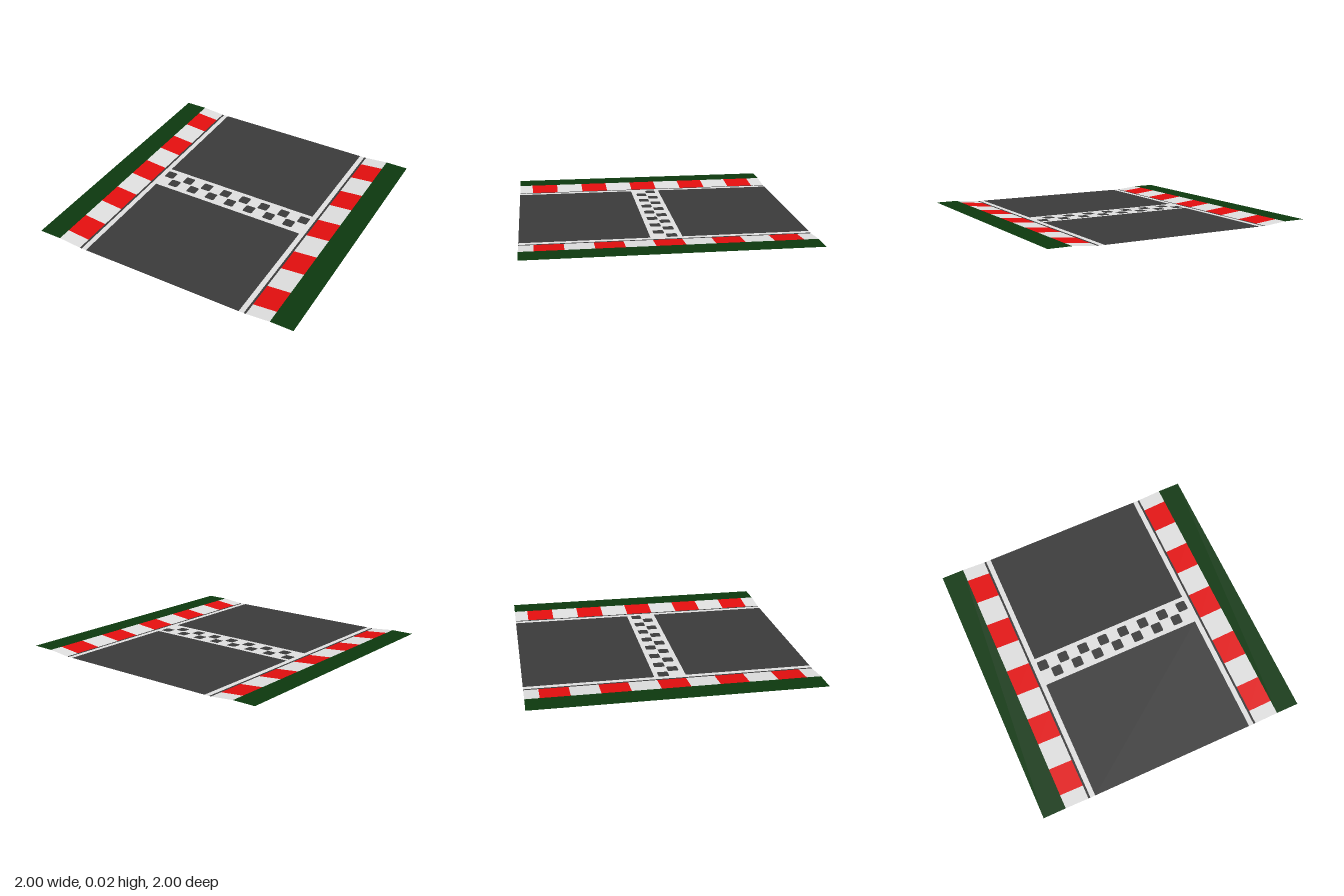
import * as THREE from 'three';

const flat = (name, color) => {
  const m = new THREE.MeshStandardMaterial({ color, side: THREE.DoubleSide });
  m.name = name;
  return m;
};

export function createModel() {
  const group = new THREE.Group();
  const asphalt = flat('asphalt', 0x3a3a3a);
  const white = flat('white paint', 0xdedede);
  const red = flat('red paint', 0xe20e0e);
  const green = flat('grass green', 0x0c380e);

  const rise = 0.016; // the verge sits slightly above the road
  const roadX = 0.608, lineX = 0.645, kerbIn = 0.66, kerbOut = 0.833;
  const finish = 0.11; // half depth of the finish band

  const add = (name, geometry, material) => {
    const mesh = new THREE.Mesh(geometry, material);
    mesh.name = name;
    group.add(mesh);
  };

  // Strip from x0 to x1 whose height runs from y0 to y1
  const strip = (name, material, x0, x1, z0 = -1, z1 = 1, y0 = 0, y1 = 0) => {
    const g = new THREE.PlaneGeometry(x1 - x0, z1 - z0).rotateX(-Math.PI / 2);
    g.translate((x0 + x1) / 2, 0, (z0 + z1) / 2);
    const p = g.attributes.position;
    for (let i = 0; i < p.count; i++) {
      p.setY(i, THREE.MathUtils.mapLinear(p.getX(i), x0, x1, y0, y1));
    }
    g.computeVertexNormals();
    add(name, g, material);
  };

  // Road halves either side of the finish band
  strip('roadBack', asphalt, -roadX, roadX, -1, -finish);
  strip('roadFront', asphalt, -roadX, roadX, finish, 1);

  for (const s of [-1, 1]) {
    const side = s < 0 ? 'right' : 'left';
    // Mirrored strip measured outwards from the centre line
    const edge = (name, material, a, b, z0, z1, ya, yb) => s > 0
      ? strip(side + name, material, a, b, z0, z1, ya, yb)
      : strip(side + name, material, -b, -a, z0, z1, yb, ya);

    edge('EdgeLine', white, roadX, lineX, -1, 1, 0, 0);
    edge('RoadMargin', asphalt, lineX, kerbIn, -1, 1, 0, 0);
    edge('Verge', green, kerbOut, 1, -1, 1, rise, rise);

    // Sloping kerb: white ends and alternating red and white blocks
    const cuts = [-1];
    for (let i = 0; i < 10; i++) cuts.push(-0.9 + i * 0.2);
    cuts.push(1);
    for (let i = 0; i < cuts.length - 1; i++) {
      edge('Kerb' + i, i % 2 ? red : white, kerbIn, kerbOut, cuts[i], cuts[i + 1], 0, rise);
    }
  }

  // Finish band with the chequers cut out and filled in
  const band = new THREE.Shape();
  band.moveTo(-roadX, -finish).lineTo(roadX, -finish).lineTo(roadX, finish).lineTo(-roadX, finish);
  band.closePath();

  const cell = 0.0815, h = 0.0375, c = 0.007;
  const chequers = [];
  for (let i = -7; i <= 7; i++) {
    const x = i * cell * 0.998, y = i % 2 ? 0.0415 : -0.0395;
    const points = [
      [-h + c, -h], [h - c, -h], [h, -h + c], [h, h - c],
      [h - c, h], [-h + c, h], [-h, h - c], [-h, -h + c],
    ].map(([px, py]) => new THREE.Vector2(x + px, y + py));
    chequers.push(new THREE.Shape(points));
    band.holes.push(new THREE.Path(points));
  }
  add('finishBand', new THREE.ShapeGeometry(band).rotateX(-Math.PI / 2), white);
  add('finishChequers', new THREE.ShapeGeometry(chequers).rotateX(-Math.PI / 2), asphalt);

  return group;
}
